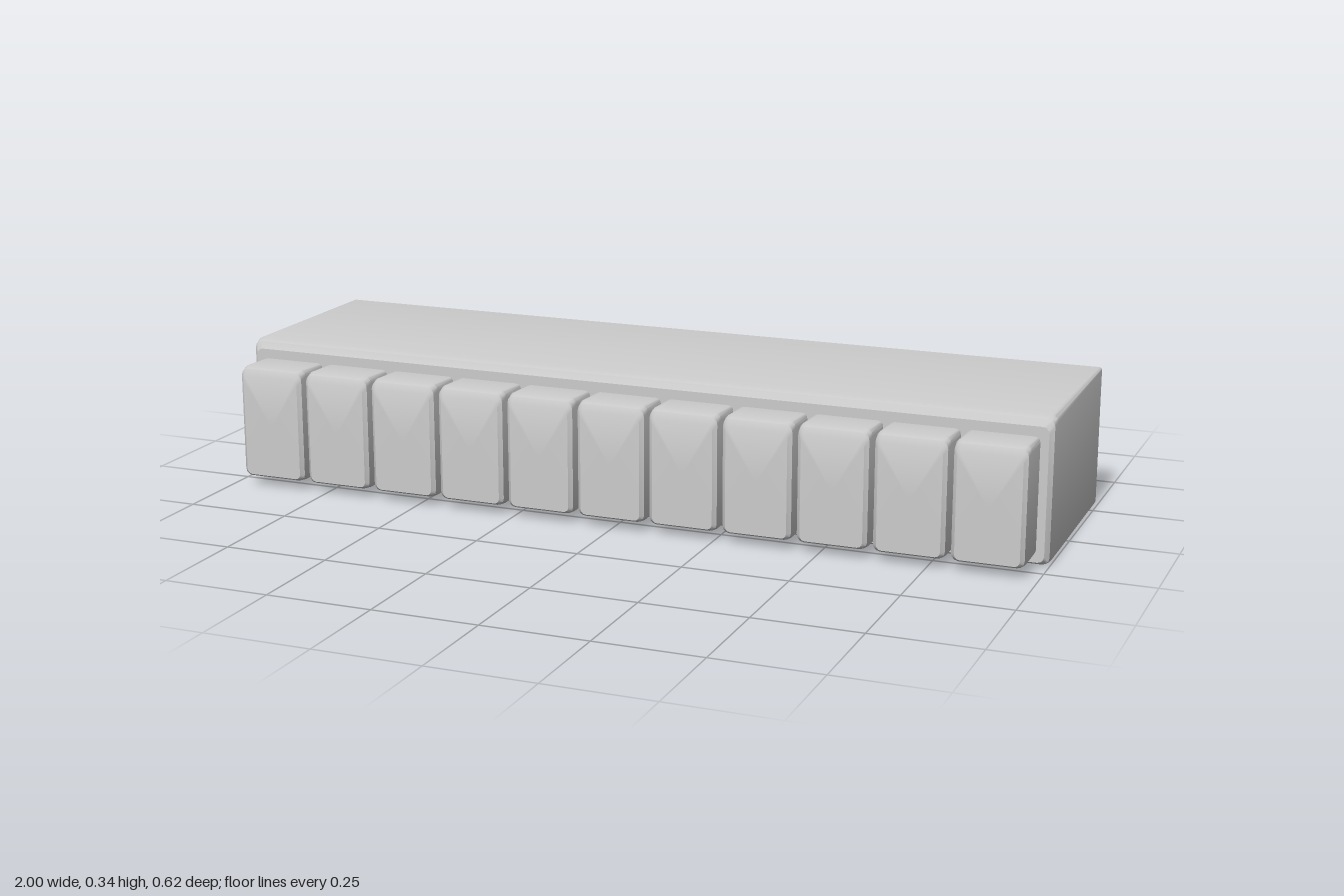
import * as THREE from 'three';
import { toCreasedNormals } from 'three/addons/utils/BufferGeometryUtils.js';

const material = new THREE.MeshStandardMaterial({ color: 0xcccccc, side: THREE.DoubleSide });

// Rounded rectangle outline, counter-clockwise seen from the front
function outline({ x0, x1, y0, y1, r }) {
  const corners = [[x1 - r, y0 + r, -1], [x1 - r, y1 - r, 0], [x0 + r, y1 - r, 1], [x0 + r, y0 + r, 2]];
  const points = [];
  for (const [cx, cy, quarter] of corners) {
    for (let i = 0; i <= 3; i++) {
      const a = (quarter + i / 3) * Math.PI / 2;
      points.push(new THREE.Vector2(cx + r * Math.cos(a), cy + r * Math.sin(a)));
    }
  }
  return points;
}

// Skin through outlines from back to front, with an optional flat front cap
function loft(sections, cap) {
  const position = [], index = [];
  const n = 16;
  for (const s of sections) for (const p of outline(s)) position.push(p.x, p.y, s.z);
  for (let k = 0; k < sections.length - 1; k++) {
    for (let i = 0; i < n; i++) {
      const a = k * n + i, b = k * n + (i + 1) % n;
      index.push(a, b, b + n, a, b + n, a + n);
    }
  }
  if (cap) {
    const s = sections[sections.length - 1], start = (sections.length - 1) * n;
    position.push((s.x0 + s.x1) / 2, (s.y0 + s.y1) / 2, s.z);
    for (let i = 0; i < n; i++) index.push(start + i, start + (i + 1) % n, sections.length * n);
  }
  const geometry = new THREE.BufferGeometry();
  geometry.setAttribute('position', new THREE.Float32BufferAttribute(position, 3));
  geometry.setIndex(index);
  return toCreasedNormals(geometry, 0.6);
}

function addMesh(parent, name, geometry) {
  const mesh = new THREE.Mesh(geometry, material);
  mesh.name = name;
  parent.add(mesh);
  return mesh;
}

export function createModel() {
  const model = new THREE.Group();
  model.name = 'blockRow';

  // Housing: thin shell, open at the back, with a softened front rim
  const rim = { z: 0.2, x0: -0.988, x1: 0.988, y0: 0.008, y1: 0.318, r: 0.015 };
  addMesh(model, 'housing', loft([
    { z: -0.312, x0: -1, x1: 0.993, y0: 0.001, y1: 0.335, r: 0.006 },
    { z: 0.172, x0: -1, x1: 1, y0: 0.001, y1: 0.34, r: 0.015 },
    { z: 0.19, x0: -0.998, x1: 0.998, y0: 0.002, y1: 0.334, r: 0.017 },
    rim,
  ], false));

  // Blocks: hollow, opening into the housing
  const blocks = new THREE.Group();
  blocks.name = 'blocks';
  model.add(blocks);
  const section = (z, half, y0, y1, r) => ({ z, x0: -half, x1: half, y0, y1, r });
  const base = section(0.2, 0.082, 0.025, 0.295, 0.012);
  const blockGeometry = loft([
    base,
    section(0.285, 0.084, 0.024, 0.298, 0.015),
    section(0.303, 0.082, 0.025, 0.293, 0.017),
    section(0.311, 0.073, 0.03, 0.276, 0.012),
  ], true);

  // Front plate: pierced behind every block
  const plate = new THREE.Shape(outline(rim));
  for (let i = 0; i < 11; i++) {
    const x = -0.889 + i * 0.1776;
    addMesh(blocks, `block${i + 1}`, blockGeometry).position.x = x;
    plate.holes.push(new THREE.Path(outline({ ...base, x0: base.x0 + x, x1: base.x1 + x })));
  }
  addMesh(model, 'frontPlate', new THREE.ShapeGeometry(plate)).position.z = rim.z;

  return model;
}
